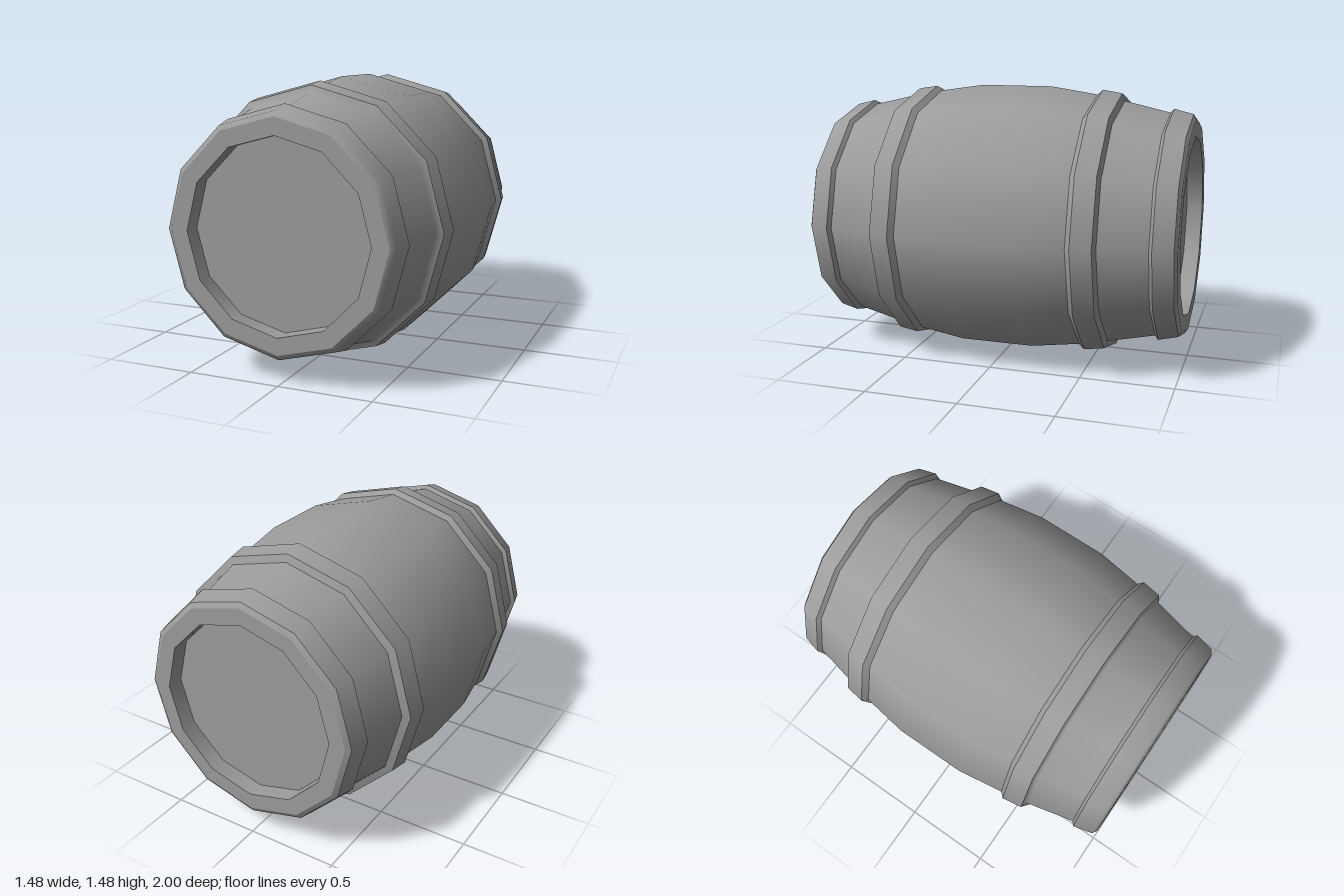
import * as THREE from 'three';
import { mergeGeometries } from 'three/addons/utils/BufferGeometryUtils.js';

const SIDES = 12;
const RADIUS = 0.742;
const HEAD_Z = 0.91;

// Twelve-sided lathe lying along z. Each strip is a profile of [radius, z] with z
// increasing; it is smooth in itself and sharp where it meets the next strip.
function turned(...strips) {
  return mergeGeometries(strips.map((strip) => {
    const points = strip.map(([r, z]) => new THREE.Vector2(r, z));
    return new THREE.LatheGeometry(points, SIDES).rotateX(Math.PI / 2);
  }));
}

export function createModel() {
  const barrel = new THREE.Group();
  barrel.name = 'barrel';
  const material = new THREE.MeshStandardMaterial({ color: 0x9c9c9c });

  function add(name, geometry, z = 0, turn = 0) {
    const mesh = new THREE.Mesh(geometry, material);
    mesh.name = name;
    mesh.position.set(0, RADIUS, z);
    mesh.rotation.y = turn;
    barrel.add(mesh);
  }

  // Bulging staves
  const half = [[RADIUS, 0.2], [0.705, 0.45], [0.675, 0.6], [0.608, 0.9]];
  const mirrored = half.map(([r, z]) => [r, -z]).reverse();
  add('staves', turned([...mirrored, ...half]));

  // Middle hoops: bevelled inner edge and tapering band; the front one blends into the staves
  const innerBevel = [[0.7, 0.45], [0.73, 0.482]];
  const band = [[0.73, 0.482], [0.713, 0.59]];
  add('frontMiddleHoop', turned(innerBevel, band, [[0.713, 0.59], [0.676, 0.606], [0.613, 0.88]]));
  add('backMiddleHoop', turned(innerBevel, band, [[0.713, 0.59], [0.67, 0.605]]), -0.008, Math.PI);

  // End hoops: the front bevel is rounded, the back one sharp
  const endBevel = [[0.612, 0.858], [0.638, 0.88]];
  add('frontEndHoop', turned(endBevel, [[0.638, 0.88], [0.612, 0.984], [0.585, 1]]));
  add('backEndHoop', turned(endBevel, [[0.638, 0.88], [0.612, 0.984]], [[0.612, 0.984], [0.585, 1]]), 0, Math.PI);

  // Flat rim, recess wall and recessed head at both ends
  const rim = turned([[0.585, 1], [0.495, 1]], [[0.495, 1], [0.495, HEAD_Z]]);
  const head = new THREE.CircleGeometry(0.495, SIDES);
  for (const [end, sign, turn] of [['front', 1, 0], ['back', -1, Math.PI]]) {
    add(end + 'Rim', rim, 0, turn);
    add(end + 'Head', head, sign * HEAD_Z, turn);
  }
  return barrel;
}
